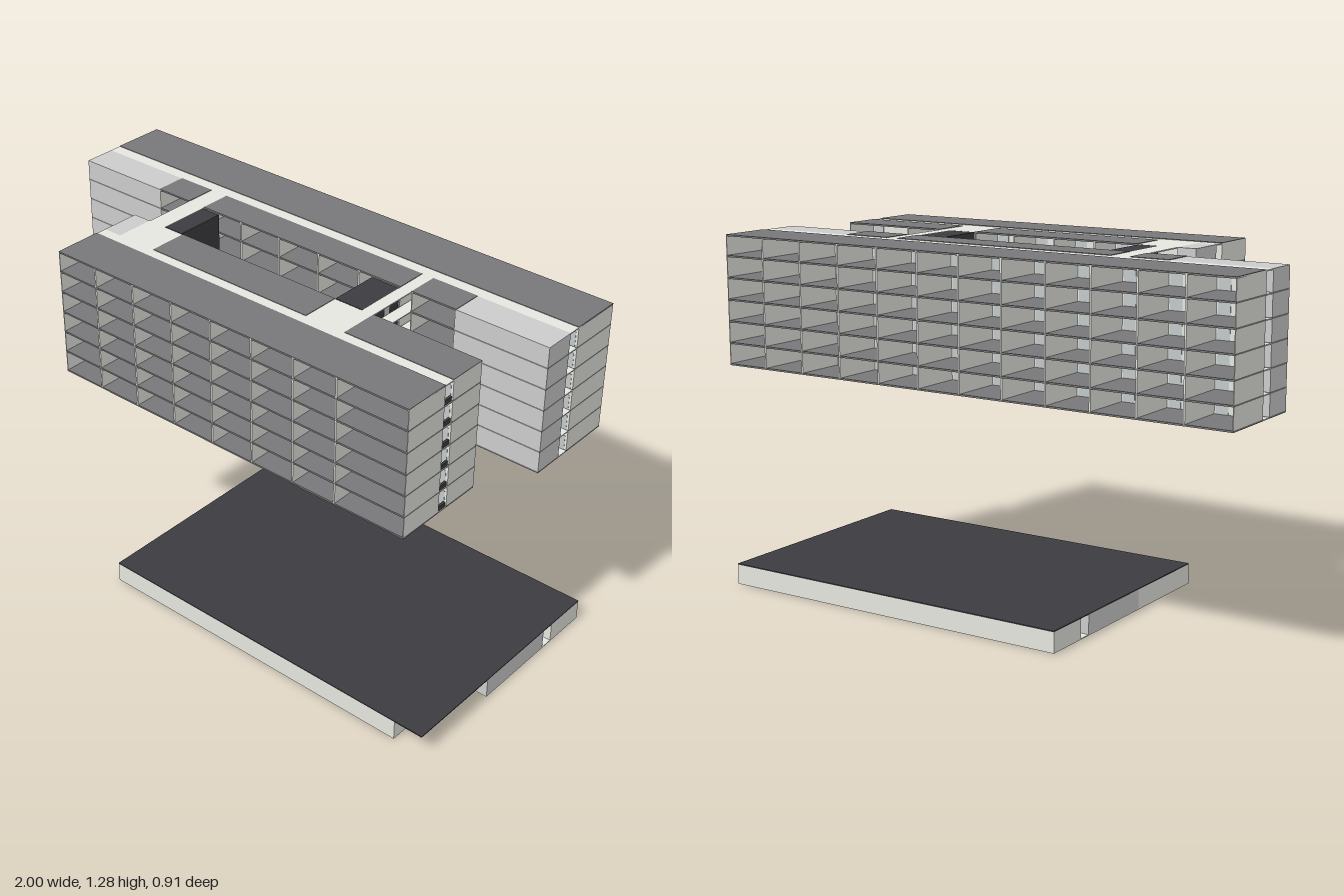
import * as THREE from 'three';

const mat = (color, side = THREE.FrontSide) => new THREE.MeshStandardMaterial({ color, side });
const LIGHT = mat(0xe6e6e0), GREY = mat(0xcccccc), SLAB = mat(0x78787a), DARK = mat(0x3c3c40), DOOR = mat(0xc2c8c8);

const FLOORS = 6, STEP = 0.0772, BASE_Y = 0.812, SLAB_T = 0.006;

// Box given by its two extreme corners
function block(parent, name, material, x0, x1, y0, y1, z0, z1) {
  const mesh = new THREE.Mesh(new THREE.BoxGeometry(x1 - x0, y1 - y0, z1 - z0), material);
  mesh.position.set((x0 + x1) / 2, (y0 + y1) / 2, (z0 + z1) / 2);
  mesh.name = name;
  parent.add(mesh);
  return mesh;
}

// Evenly spaced divider positions
const spread = (a, b, n) => Array.from({ length: n + 1 }, (_, i) => a + (b - a) * i / n);

// Row of rooms, open at zOpen, closed by a wall with doors at zWall
function roomRow(parent, name, xs, zWall, zOpen, y) {
  const row = new THREE.Group();
  row.name = name;
  const x0 = xs[0], x1 = xs[xs.length - 1], t = 0.006;
  const z0 = Math.min(zWall, zOpen), z1 = Math.max(zWall, zOpen);
  const dir = Math.sign(zOpen - zWall);
  const yb = y + SLAB_T, yt = y + STEP;
  block(row, 'floorSlab', SLAB, x0, x1, y, yb, z0, z1);
  const wz = [zWall, zWall + dir * t].sort((a, b) => a - b);
  block(row, 'corridorWall', LIGHT, x0, x1, yb, yt, wz[0], wz[1]);
  xs.forEach((x, i) => {
    const a = Math.max(x0, x - t / 2), b = Math.min(x1, x + t / 2);
    block(row, 'dividingWall', LIGHT, a, b, yb, yt, z0, z1);
    if (i > 0) {
      // door near the right-hand divider, visible on both wall faces
      block(row, 'door', DOOR, x - 0.052, x - 0.008, yb, yb + 0.052, wz[0] - 0.001, wz[1] + 0.001);
    }
  });
  parent.add(row);
}

// Every row of open rooms: name, divider positions, wall z, open z
const ROWS = [
  ['backRooms', spread(-1, 1, 12), -0.26, -0.455],
  ['frontRooms', [...spread(-0.568, 0.62, 7), 0.89], 0.277, 0.452],
  ['innerBackRoomsRight', [-0.64, -0.498], -0.215, -0.1],
  ['innerBackRoomsMiddle', spread(-0.427, 0.43, 5), -0.215, -0.1],
  ['innerBackRoomsLeft', [0.475, 0.65], -0.215, -0.1],
  ['innerFrontRoomsMiddle', spread(-0.342, 0.32, 4), 0.237, 0.095],
  ['innerFrontRoomsLeft', [0.475, 0.62, 0.89], 0.237, 0.095],
];

// Closed rooms: x0, x1, z0, z1
const CLOSED = [
  [-1, -0.64, -0.215, -0.1],
  [0.65, 1, -0.215, -0.1],
  [-0.568, -0.498, 0.095, 0.237],
];

// Corridor and lobby floors: x0, x1, z0, z1
const CORRIDORS = [
  [-1, 1, -0.26, -0.215],
  [-0.568, 0.89, 0.237, 0.277],
  [-0.498, -0.427, -0.215, 0.237],
  [0.43, 0.475, -0.215, 0.237],
  [-0.427, -0.342, 0.095, 0.237],
  [0.32, 0.43, 0.095, 0.237],
];

// Lift cores beside the courtyard: x0, x1, x of the corridor face
const CORES = [[-0.427, -0.35, -0.427], [0.32, 0.43, 0.43]];

function storey(index) {
  const g = new THREE.Group();
  g.name = 'storey' + (index + 1);
  const y = BASE_Y + index * STEP;
  for (const [name, xs, zWall, zOpen] of ROWS) roomRow(g, name, xs, zWall, zOpen, y);
  for (const [x0, x1, z0, z1] of CLOSED) {
    block(g, 'closedRoomSlab', SLAB, x0, x1, y, y + SLAB_T, z0, z1);
    block(g, 'closedRoom', GREY, x0, x1, y + SLAB_T, y + STEP, z0, z1);
  }
  for (const [x0, x1, z0, z1] of CORRIDORS) block(g, 'corridorFloor', LIGHT, x0, x1, y, y + 0.004, z0, z1);
  for (const [x0, x1, face] of CORES) {
    block(g, 'liftCore', DARK, x0, x1, y, y + STEP, -0.092, 0.092);
    for (const z of [0.042, -0.032]) {
      block(g, 'liftDoor', GREY, face - 0.001, face + 0.001, y + 0.006, y + 0.052, z - 0.012, z + 0.012);
    }
  }
  // low parapet closing the front corridor
  block(g, 'corridorParapet', DARK, 0.88, 0.888, y + 0.004, y + 0.021, 0.24, 0.275);
  return g;
}

function roof() {
  const g = new THREE.Group();
  g.name = 'roof';
  const y = BASE_Y + FLOORS * STEP;
  for (const [name, xs, zWall, zOpen] of ROWS) {
    block(g, name + 'Roof', SLAB, xs[0], xs[xs.length - 1], y - 0.004, y + 0.002,
      Math.min(zWall, zOpen), Math.max(zWall, zOpen));
  }
  for (const [x0, x1, z0, z1] of CORRIDORS) block(g, 'corridorRoof', LIGHT, x0, x1, y - 0.004, y, z0, z1);
  return g;
}

function podium() {
  const g = new THREE.Group();
  g.name = 'podium';
  const h = 0.073;
  block(g, 'podiumFloor', LIGHT, -0.37, 1, 0, 0.003, -0.455, 0.09);
  // a through passage separates the back block from the middle one
  block(g, 'podiumBack', LIGHT, -0.37, 1, 0.003, h, -0.455, -0.288);
  block(g, 'podiumMiddle', GREY, -0.37, 1, 0.003, h, -0.24, 0.09);
  block(g, 'podiumFront', LIGHT, -0.37, 0.89, 0, h, 0.09, 0.452);
  // roof plate overhangs the recessed front corner
  block(g, 'podiumRoof', DARK, -0.37, 1, h, 0.077, -0.455, 0.452);
  return g;
}

export function createModel() {
  const model = new THREE.Group();
  model.name = 'apartmentBlock';
  for (let i = 0; i < FLOORS; i++) model.add(storey(i));
  model.add(roof(), podium());
  return model;
}
